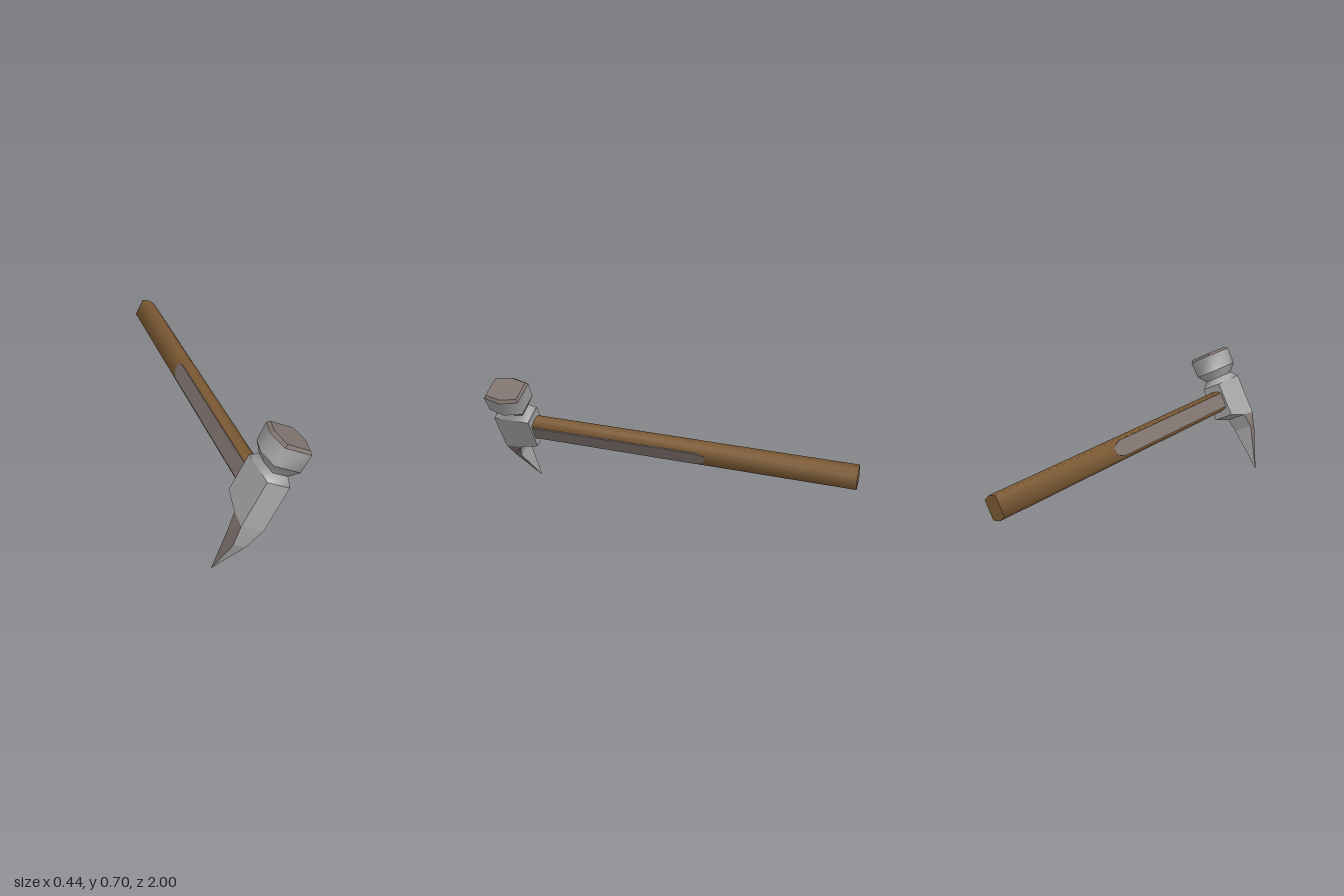
import * as THREE from 'three';
import { toCreasedNormals } from 'three/addons/utils/BufferGeometryUtils.js';

// Skin a list of rings (counter-clockwise seen from the last ring's end).
// With "sides" only those side strips are made, without caps.
function loft(rings, crease, sides) {
  const pos = [];
  const n = rings[0].length;
  const tri = (a, b, c) => pos.push(...a, ...b, ...c);
  for (let r = 0; r < rings.length - 1; r++) {
    const a = rings[r], b = rings[r + 1];
    for (let i = 0; i < n; i++) {
      if (sides && !sides.includes(i)) continue;
      const j = (i + 1) % n;
      tri(a[i], a[j], b[j]);
      tri(a[i], b[j], b[i]);
    }
  }
  if (!sides) {
    const lo = rings[0], hi = rings[rings.length - 1];
    for (let i = 1; i < n - 1; i++) {
      tri(lo[0], lo[i + 1], lo[i]);
      tri(hi[0], hi[i], hi[i + 1]);
    }
  }
  const g = new THREE.BufferGeometry();
  g.setAttribute('position', new THREE.Float32BufferAttribute(pos, 3));
  return toCreasedNormals(g, crease);
}

// Four-cornered head section: front and back edges with own height and depth
const quad = (fw, fy, fz, bw, by, bz) =>
  [[fw, fy, fz], [bw, by, bz], [-bw, by, bz], [-fw, fy, fz]];

// Six-sided section across the head axis: points at +-a, corners at +-b, +-c
const hexY = (y, a, b, c) =>
  [[a, y, 0], [b, y, -c], [-b, y, -c], [-a, y, 0], [-b, y, c], [b, y, c]];

export function createModel() {
  const mat = (name, color) => {
    const m = new THREE.MeshStandardMaterial({ color });
    m.name = name;
    return m;
  };
  const steel = mat('steel', 0xa6a6a6);
  const worn = mat('wornSteel', 0x80736f);
  const wood = mat('wood', 0x7c5a34);

  const hammer = new THREE.Group();
  hammer.name = 'hammer';
  const add = (name, geo, material) => {
    const m = new THREE.Mesh(geo, material);
    m.name = name;
    hammer.add(m);
    return m;
  };
  const SMOOTH = 1.42, FLAT = 0.2;

  // Wooden handle: long hexagonal bar
  const handleRing = z => [[0.042, -0.05, z], [0.042, 0.05, z], [0, 0.062, z],
    [-0.042, 0.05, z], [-0.042, -0.05, z], [0, -0.062, z]];
  add('handle', loft([handleRing(-1.888), handleRing(-0.05)], SMOOTH), wood);

  // Metal straps on both sides of the handle, with tapered ends
  const strapRing = (z, h, u) => [[0.03, -h, z], [u, -h, z], [u, h, z], [0.03, h, z]];
  for (const side of [0, 1]) {
    const strap = add(side ? 'rightStrap' : 'leftStrap', loft([
      strapRing(-1.1, 0.02, 0.0425), strapRing(-1.056, 0.042, 0.049),
      strapRing(-0.09, 0.042, 0.049)], FLAT), worn);
    strap.rotation.z = side * Math.PI;
  }

  // Head block with slanted underside
  add('headBlock', loft([
    quad(0.061, -0.142, 0.103, 0.061, -0.134, 0.01),
    quad(0.061, -0.142, 0.103, 0.061, -0.1, -0.108),
    quad(0.061, 0.097, 0.103, 0.061, 0.097, -0.108)], FLAT), steel);

  // Curved spike: steel front and back, worn flanks
  const spike = [
    quad(0.0005, -0.463, -0.004, 0.0005, -0.463, -0.006),
    quad(0.033, -0.256, 0.087, 0.06, -0.215, 0.03),
    quad(0.061, -0.142, 0.103, 0.061, -0.134, 0.01)];
  add('spikeFrontAndBack', loft(spike, FLAT, [1, 3]), steel);
  add('spikeFlanks', loft(spike, FLAT, [0, 2]), worn);

  // Neck, flare, striking poll and its bevelled face
  const base = hexY(0.097, 0.061, 0.061, 0.104);
  const waist = hexY(0.133, 0.052, 0.042, 0.075);
  const lower = hexY(0.178, 0.096, 0.07, 0.1);
  const upper = hexY(0.272, 0.098, 0.072, 0.102);
  const face = hexY(0.287, 0.083, 0.062, 0.092);
  const all = [0, 1, 2, 3, 4, 5];
  add('neck', loft([base, waist], SMOOTH, all), steel);
  add('flare', loft([waist, lower], SMOOTH, all), steel);
  add('poll', loft([lower, upper], SMOOTH, all), steel);
  add('strikingFace', loft([upper, face], FLAT), worn);

  // Resting pose: head axis leans sideways, handle runs slightly off straight
  const fwd = new THREE.Vector3(0.048, 0.0226, 1).normalize();
  const up = new THREE.Vector3(0.475, 0.88, -0.043);
  const across = new THREE.Vector3().crossVectors(up, fwd).normalize();
  up.crossVectors(fwd, across);
  hammer.quaternion.setFromRotationMatrix(new THREE.Matrix4().makeBasis(across, up, fwd));
  hammer.position.set(0.006, 0.407, 0.89);

  const root = new THREE.Group();
  root.name = 'model';
  root.add(hammer);
  return root;
}
